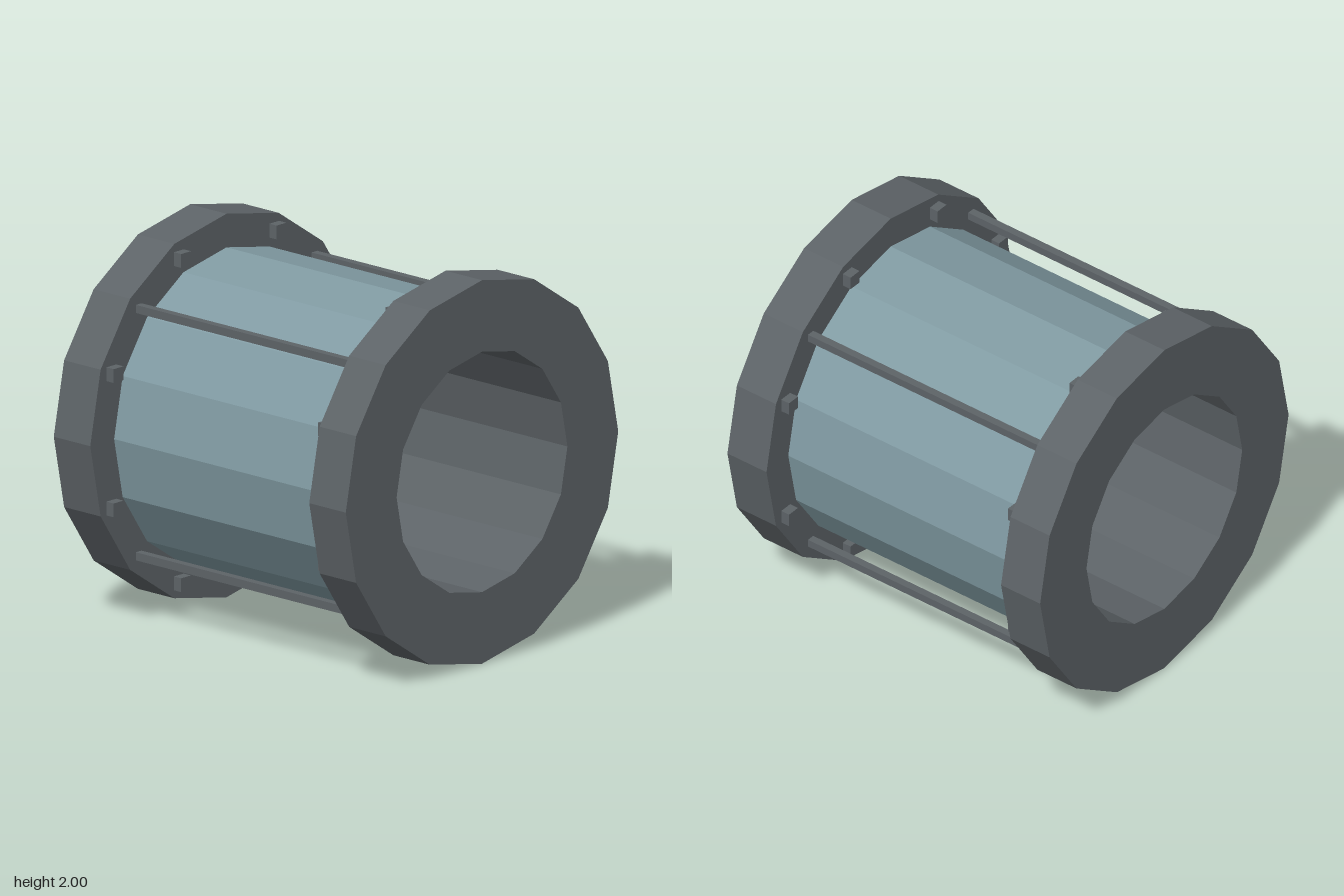
import * as THREE from 'three';

const SIDES = 16;
const OUTER = 1, BARREL = 0.825, BORE = 0.627;
const INSIDE = 0.75; // x of the inner faces of the flanges

export function createModel() {
  const model = new THREE.Group();
  model.name = 'flangedBarrel';

  const metal = new THREE.MeshStandardMaterial({ color: 0x5d6367 });
  metal.name = 'dark grey metal';
  const shell = new THREE.MeshStandardMaterial({ color: 0x809aa2 });
  shell.name = 'blue grey shell';

  const add = (name, geometry, material, x = 0, y = 1, z = 0) => {
    const mesh = new THREE.Mesh(geometry, material);
    mesh.name = name;
    mesh.position.set(x, y, z);
    model.add(mesh);
  };

  // Faceted ring turned around the x axis from [radius, x] points
  const turned = (points) => {
    const profile = points.map(([r, x]) => new THREE.Vector2(r, x));
    const geometry = new THREE.LatheGeometry(profile, SIDES).rotateZ(-Math.PI / 2).toNonIndexed();
    geometry.computeVertexNormals();
    return geometry;
  };

  // Barrel shell and the lining of the open bore
  add('barrel', turned([[BARREL, -INSIDE], [BARREL, INSIDE]]), shell);
  add('boreLining', turned([[BORE, INSIDE], [BORE, -INSIDE]]), metal);

  // Thick end flanges
  const h = (1 - INSIDE) / 2;
  const flange = turned([[BORE, -h], [OUTER, -h], [OUTER, h], [BORE, h], [BORE, -h]]);
  add('leftFlange', flange, metal, INSIDE + h);
  add('rightFlange', flange, metal, -INSIDE - h);

  // Four tie rods on the diagonals, and eight bolts on each flange between them
  const rod = new THREE.BoxGeometry(2 * INSIDE, 0.042, 0.042);
  const bolt = new THREE.BoxGeometry(0.05, 0.072, 0.072);
  for (let i = 0; i < 4; i++) {
    const a = Math.PI / 4 + i * Math.PI / 2;
    add('tieRod', rod, metal, 0, 1 + 0.912 * Math.sin(a), 0.912 * Math.cos(a));
  }
  for (let i = 0; i < 8; i++) {
    const a = Math.PI / 8 + i * Math.PI / 4;
    for (const side of [-1, 1]) {
      add('bolt', bolt, metal, side * (INSIDE - 0.025), 1 + 0.915 * Math.sin(a), 0.915 * Math.cos(a));
    }
  }
  return model;
}
